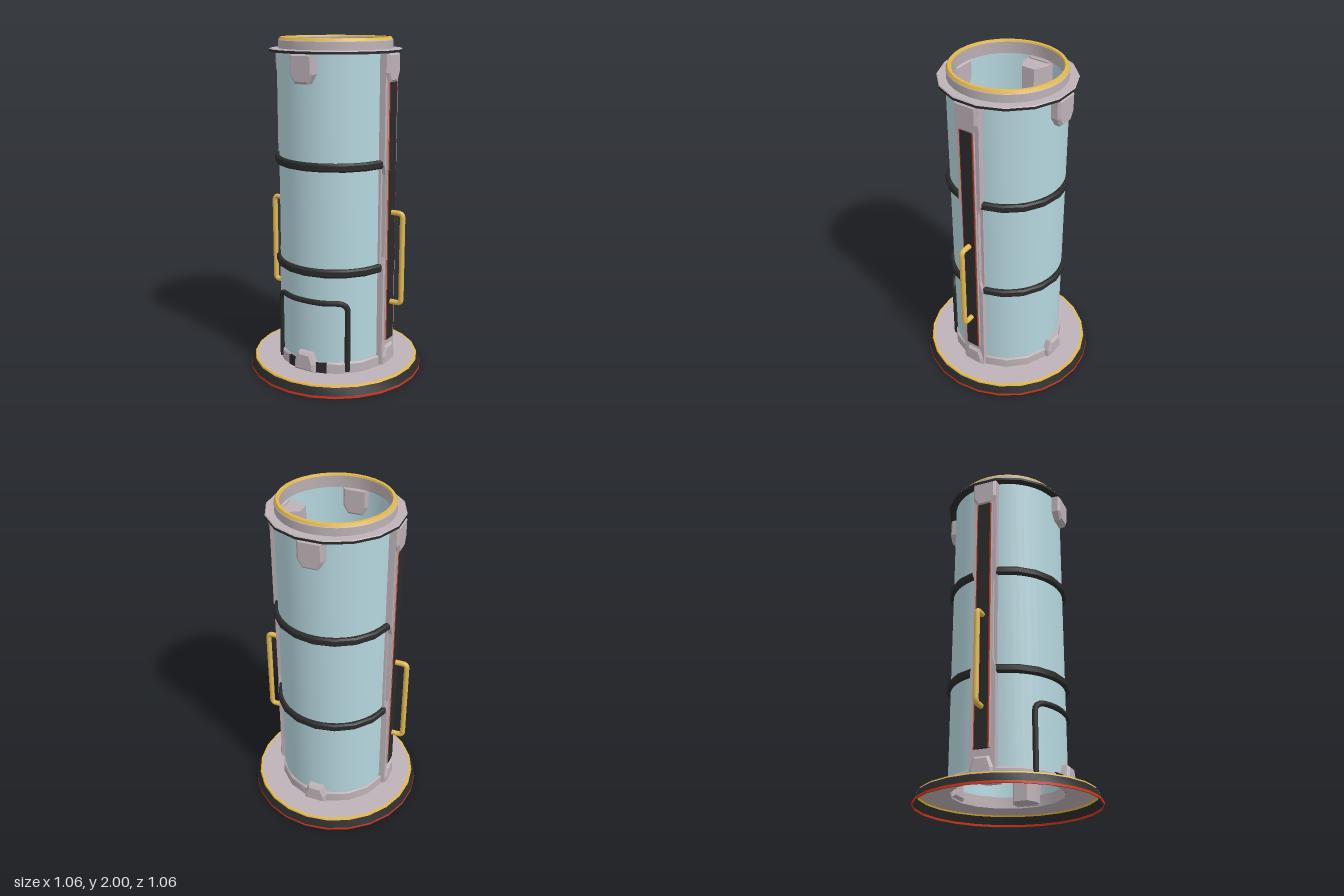
import * as THREE from 'three';
import { toCreasedNormals } from 'three/addons/utils/BufferGeometryUtils.js';

const mat = (color) => new THREE.MeshStandardMaterial({ color, side: THREE.DoubleSide });
const glass = mat(0xb5d6de), grey = mat(0xbdb2b7), gold = mat(0xe2b84f);
const black = mat(0x2b2b2b), red = mat(0xc8361a);
const V2 = (p) => new THREE.Vector2(p[0], p[1]);

function add(parent, name, geometry, material) {
  const mesh = new THREE.Mesh(geometry, material);
  mesh.name = name;
  parent.add(mesh);
  return mesh;
}

// Turned part from [radius, y] points; optional arc
function turned(points, segments, start = 0, length = Math.PI * 2) {
  const g = new THREE.LatheGeometry(points.map(V2), segments, start, length);
  return toCreasedNormals(g, 0.5);
}

// Plate facing +z, mirrored from its right-hand outline (bottom to top)
function plate(half, back, front, bevel = 0) {
  const outline = [...half, ...half.map(([x, y]) => [-x, y]).reverse()];
  const g = new THREE.ExtrudeGeometry(new THREE.Shape(outline.map(V2)), {
    depth: front - back - bevel, bevelEnabled: bevel > 0, bevelSize: bevel,
    bevelThickness: bevel, bevelOffset: -bevel, bevelSegments: 1,
  });
  return g.translate(0, 0, back);
}

function box(w, h, d, y, z) {
  return new THREE.BoxGeometry(w, h, d).translate(0, y, z);
}

// Clamps at the top and bottom of each quarter
function makeClamps() {
  const g = new THREE.Group();
  add(g, 'upperClamp', plate([[0.045, 1.757], [0.074, 1.81], [0.074, 1.922]], 0.31, 0.38, 0.014), grey);
  add(g, 'lowerClamp', plate([[0.068, 0.075], [0.068, 0.125], [0.044, 0.19]], 0.31, 0.378, 0.014), grey);
  return g;
}

// Side rail with inner column, dark strip and grab handle
function makeRail() {
  const g = new THREE.Group();
  add(g, 'railPlate', plate([
    [0.075, 0.08], [0.075, 0.69], [0.056, 0.75],
    [0.056, 1.24], [0.075, 1.30], [0.075, 1.92],
  ], 0.31, 0.362), grey);
  add(g, 'railCore', box(0.1, 1.66, 0.03, 1.065, 0.356), grey);
  add(g, 'stripEdging', box(0.09, 1.53, 0.016, 0.995, 0.366), red);
  add(g, 'darkStrip', box(0.076, 1.53, 0.02, 0.995, 0.367), black);

  // Tapered column inside the tube
  const section = [[0.075, -0.34], [0.075, -0.255], [0.04, -0.19]];
  const column = plate(section, 0.08, 1.9).rotateX(-Math.PI / 2);
  add(g, 'innerColumn', column, grey);

  // Grab handle with rounded corners
  const path = new THREE.CurvePath();
  const P = (y, z) => new THREE.Vector3(0, y, z);
  const [lo, hi, out, r] = [0.463, 1.01, 0.446, 0.025];
  path.add(new THREE.LineCurve3(P(lo, 0.36), P(lo, out - r)));
  path.add(new THREE.QuadraticBezierCurve3(P(lo, out - r), P(lo, out), P(lo + r, out)));
  path.add(new THREE.LineCurve3(P(lo + r, out), P(hi - r, out)));
  path.add(new THREE.QuadraticBezierCurve3(P(hi - r, out), P(hi, out), P(hi, out - r)));
  path.add(new THREE.LineCurve3(P(hi, out - r), P(hi, 0.36)));
  add(g, 'grabHandle', new THREE.TubeGeometry(path, 80, 0.016, 10), gold);
  return g;
}

// Door frame: rounded arch wrapped around the tube
function makeDoorFrame() {
  const R = 0.34, half = 0.228, top = 0.503, r = 0.045;
  const flat = [[-half, 0.08], [-half, 0.3]];
  for (let i = 0; i <= 4; i++) {
    const a = (i / 4) * Math.PI / 2;
    flat.push([-half + r - r * Math.cos(a), top - r + r * Math.sin(a)]);
  }
  flat.push([-0.09, top]);
  const all = [...flat, ...flat.map(([x, y]) => [-x, y]).reverse()];
  const curve = new THREE.CatmullRomCurve3(
    all.map(([x, y]) => new THREE.Vector3(x, y, Math.sqrt(R * R - x * x))), false, 'centripetal');
  return new THREE.TubeGeometry(curve, 90, 0.017, 8);
}

export function createModel() {
  const model = new THREE.Group();
  model.name = 'cylindricalChamber';

  // Flared, hollow base
  const base = new THREE.Group();
  base.name = 'base';
  model.add(base);
  add(base, 'baseRim', turned([[0.522, 0], [0.53, 0], [0.528, 0.014]], 24), red);
  add(base, 'baseSkirt', turned([[0.528, 0.014], [0.507, 0.058]], 24), black);
  add(base, 'baseTrim', turned([[0.507, 0.058], [0.503, 0.067], [0.49, 0.067]], 24), gold);
  add(base, 'baseTop', turned([[0.49, 0.067], [0.325, 0.067]], 24), grey);

  // Tube wall and lower collar
  add(model, 'tubeWall', turned([[0.335, 0.067], [0.335, 1.93]], 48), glass);
  add(model, 'lowerCollar', turned(
    [[0.322, 0.067], [0.35, 0.067], [0.35, 0.125], [0.343, 0.134], [0.322, 0.134], [0.322, 0.067]],
    16, Math.PI / 16), grey);
  add(model, 'threshold', turned(
    [[0.318, 0.07], [0.353, 0.07], [0.353, 0.132], [0.318, 0.132], [0.318, 0.07]], 4, -0.38, 0.76), black);
  add(model, 'doorFrame', makeDoorFrame(), black);

  // Bands, broken by the rails
  const arc = Math.PI / 2 - 0.2;
  for (const y of [0.685, 1.3]) {
    const profile = [[0.33, -0.024], [0.352, -0.024], [0.361, -0.014], [0.361, 0.014], [0.352, 0.024], [0.33, 0.024]]
      .map(([r, dy]) => [r, y + dy]);
    for (const turn of [0, Math.PI]) {
      add(model, 'band', turned(profile, 8, turn - arc, 2 * arc), black);
    }
  }

  // Top flange and ring
  add(model, 'flangeUnderside', turned(
    [[0.325, 1.918], [0.384, 1.918], [0.384, 1.932]], 16, Math.PI / 16), black);
  add(model, 'flangeTop', turned([[0.384, 1.932], [0.38, 1.937], [0.32, 1.937]], 16, Math.PI / 16), grey);
  add(model, 'topRing', turned(
    [[0.304, 1.92], [0.33, 1.92], [0.33, 1.982], [0.323, 1.99]], 32), grey);
  add(model, 'topRingInside', turned([[0.3, 1.99], [0.304, 1.92]], 32), grey);
  add(model, 'topTrim', turned([[0.328, 1.986], [0.32, 2.0], [0.304, 2.0], [0.3, 1.99]], 32), gold);

  // Four clamps, and rails on the left and right
  for (let i = 0; i < 4; i++) {
    const clamps = makeClamps();
    clamps.name = 'clamps';
    clamps.rotation.y = i * Math.PI / 2;
    model.add(clamps);
  }
  for (const side of [1, -1]) {
    const rail = makeRail();
    rail.name = side > 0 ? 'leftRail' : 'rightRail';
    rail.rotation.y = side * Math.PI / 2;
    model.add(rail);
  }
  return model;
}
